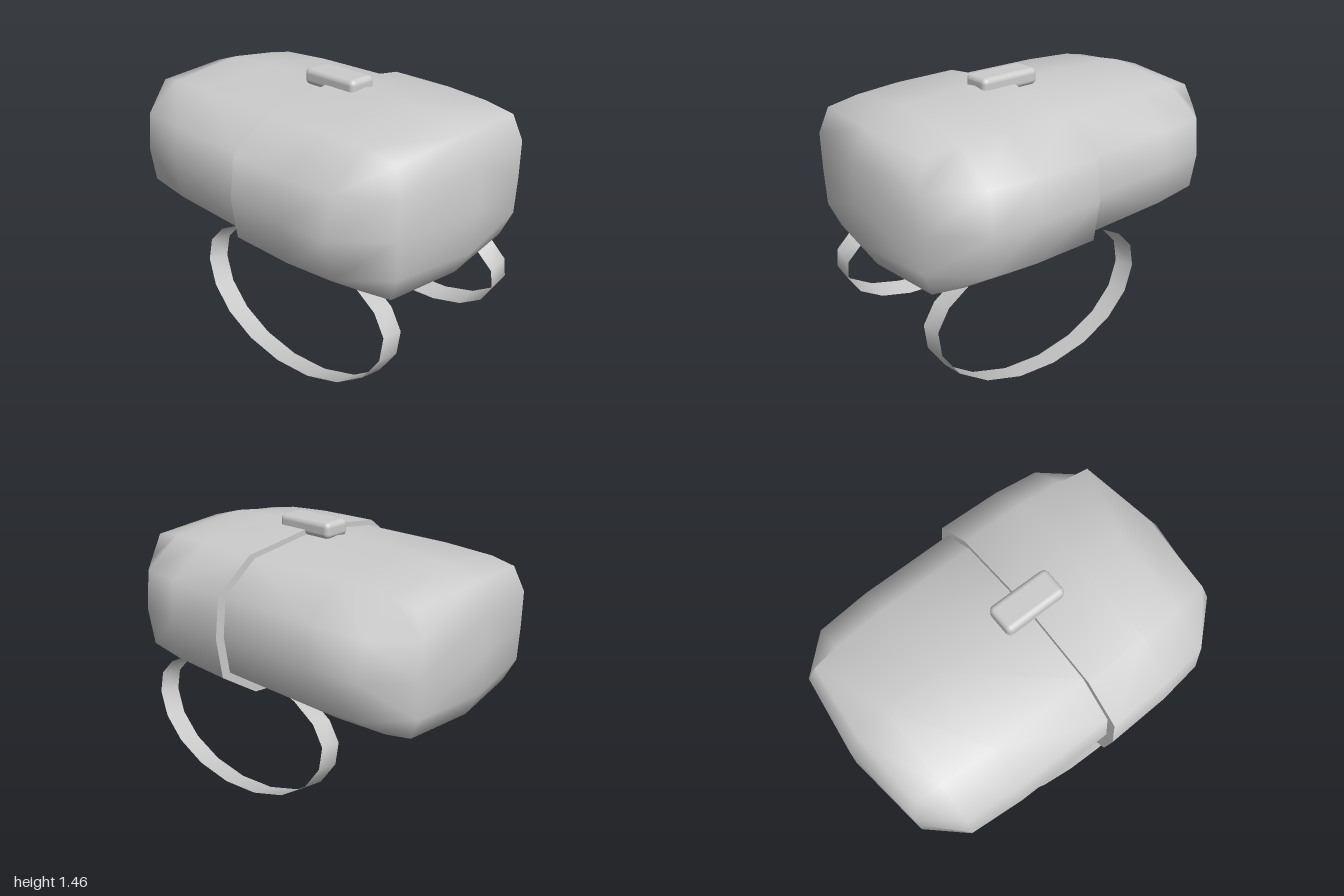
import * as THREE from 'three';
import { RoundedBoxGeometry } from 'three/addons/geometries/RoundedBoxGeometry.js';

const material = new THREE.MeshStandardMaterial({ color: 0xcccccc });
const thinMaterial = new THREE.MeshStandardMaterial({ color: 0xcccccc, side: THREE.DoubleSide });
const CENTRE_Y = 0.98, SEAM_Z = 0.08;

// Expand a right-hand half outline (top to bottom quarter) to 12 points, clockwise from +z
function ring(quarter) {
  const right = [...quarter, ...quarter.slice(0, 3).reverse().map(([x, y, z]) => [x, -y, z])];
  const left = right.slice(1, 6).reverse().map(([x, y, z]) => [-x, y, z]);
  return [...right, ...left];
}
const SECTION = [[0, 1], [0.66, 0.86], [0.96, 0.5], [1, 0]];

// Half of the padded body: three rings from the seam, then a gridded end cap
function shellGeometry(halfW, halfH, z, front) {
  const points = [];
  const scales = [[1, 1], [0.99, 0.995], [0.95, 0.966]];
  scales.forEach(([sx, sy], k) =>
    points.push(...ring(SECTION.map(([x, y]) => [x * sx, y * sy, z.rings[k]]))));
  points.push(...ring([[0, 0.83, z.top], [0.61, 0.77, z.corner], [0.65, 0.46, z.side], [0.66, 0, z.side]]));
  points.push([0, 0.5, z.upper], [0, 0, z.end], [0, -0.5, z.upper]);

  const index = [];
  const quad = (a, b, c, d) => index.push(...(front ? [a, d, c, a, c, b] : [a, b, c, a, c, d]));
  for (let r = 0; r < 3; r++) {
    for (let i = 0; i < 12; i++) {
      const j = (i + 1) % 12;
      quad(r * 12 + i, r * 12 + j, r * 12 + 12 + j, r * 12 + 12 + i);
    }
  }
  const c = (i) => 36 + i; // cap border 0-11, middle column 12-14
  [[0, 1, 2, 12], [12, 2, 3, 13], [13, 3, 4, 14], [14, 4, 5, 6],
    [0, 12, 10, 11], [12, 13, 9, 10], [13, 14, 8, 9], [14, 6, 7, 8]]
    .forEach((q) => quad(...q.map(c)));

  const geometry = new THREE.BufferGeometry();
  geometry.setAttribute('position', new THREE.Float32BufferAttribute(
    points.flatMap(([x, y, pz]) => [x * halfW, CENTRE_Y + y * halfH, pz]), 3));
  geometry.setIndex(index);
  geometry.computeVertexNormals();
  return geometry;
}

// Flat ribbon bent into an egg-shaped loop, width along x
function strapGeometry() {
  const segments = 18, halfWidth = 0.064;
  const positions = [], index = [];
  for (let i = 0; i < segments; i++) {
    const a = (i / segments) * Math.PI * 2;
    const rise = -Math.cos(a);
    const y = rise * (rise < 0 ? 0.4 : 0.29);
    const z = 0.23 + 0.66 * Math.sin(a);
    positions.push(-halfWidth, y, z, halfWidth, y, z);
    const p = i * 2, q = ((i + 1) % segments) * 2;
    index.push(p, q, q + 1, p, q + 1, p + 1);
  }
  const geometry = new THREE.BufferGeometry();
  geometry.setAttribute('position', new THREE.Float32BufferAttribute(positions, 3));
  geometry.setIndex(index);
  geometry.computeVertexNormals();
  return geometry;
}

export function createModel() {
  const model = new THREE.Group();
  model.name = 'paddedPack';
  const add = (geometry, name, mat = material) => {
    const mesh = new THREE.Mesh(geometry, mat);
    mesh.name = name;
    model.add(mesh);
    return mesh;
  };

  // Body halves: the front one is slightly larger and overlaps the back
  add(shellGeometry(0.725, 0.438, {
    rings: [SEAM_Z, 0.44, 0.69], top: 0.9, corner: 0.865, side: 0.915, upper: 0.985, end: 0.998,
  }, true), 'frontShell');
  add(shellGeometry(0.675, 0.41, {
    rings: [SEAM_Z, -0.46, -0.75], top: -0.92, corner: -0.885, side: -0.94, upper: -0.99, end: -1,
  }, false), 'backShell');

  // Step closing the rim of the front half
  const outline = ring(SECTION.map(([x, y]) => [x, y, 0]))
    .map(([x, y]) => new THREE.Vector2(x * 0.725, y * 0.438));
  const rim = add(new THREE.ShapeGeometry(new THREE.Shape(outline)), 'frontShellRim');
  rim.rotation.y = Math.PI;
  rim.position.set(0, CENTRE_Y, SEAM_Z);

  // Clasp across the seam
  const clasp = add(new RoundedBoxGeometry(0.165, 0.09, 0.35, 3, 0.03), 'clasp');
  clasp.position.set(0, 1.42, 0.095);

  // Pair of splayed strap loops
  for (const side of [1, -1]) {
    const strap = add(strapGeometry(), side > 0 ? 'leftStrap' : 'rightStrap', thinMaterial);
    strap.position.set(side * 0.45, 0.406, 0);
    strap.rotation.z = side * 0.206;
  }
  return model;
}
